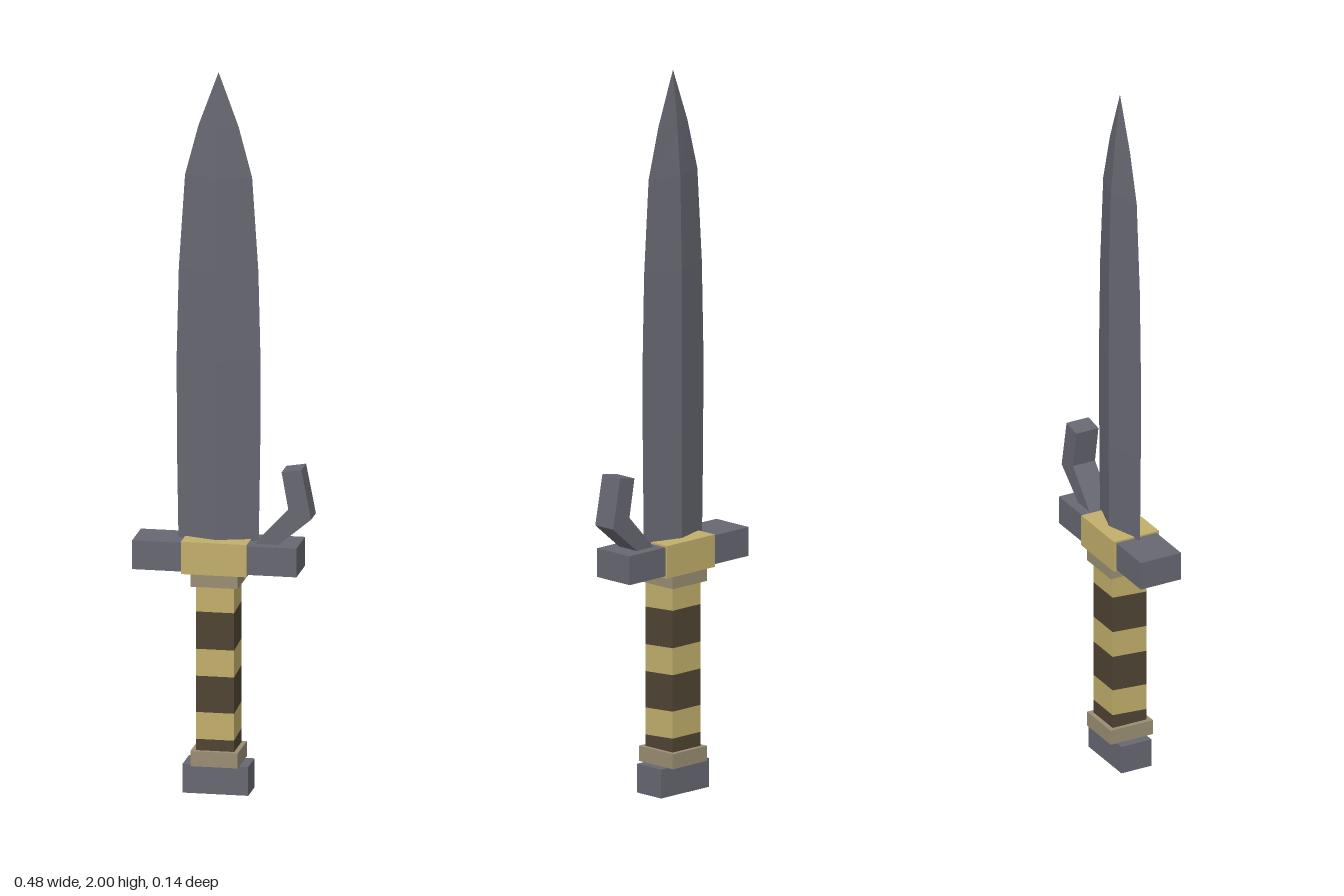
import * as THREE from 'three';

const flat = (name, color) => {
  const m = new THREE.MeshStandardMaterial({ color });
  m.name = name;
  return m;
};

export function createModel() {
  const steel = flat('steel', 0x676772);
  const gold = flat('gold', 0xc2af6b);
  const leather = flat('dark leather', 0x4f4433);
  const bronze = flat('dull bronze', 0x9a8e73);

  const model = new THREE.Group();
  model.name = 'dagger';
  const CX = -0.02; // the dagger's long axis

  const add = (name, geometry, material) => {
    const mesh = new THREE.Mesh(geometry, material);
    mesh.name = name;
    model.add(mesh);
    return mesh;
  };
  const block = (name, material, width, y0, y1, depth) => {
    const geometry = new THREE.BoxGeometry(width, y1 - y0, depth);
    geometry.translate(CX, (y0 + y1) / 2, 0);
    return add(name, geometry, material);
  };

  // Pommel, collars and guard
  block('pommel', steel, 0.18, 0, 0.08, 0.092);
  block('lowerCollar', bronze, 0.13, 0.08, 0.122, 0.13);
  block('upperCollar', bronze, 0.13, 0.58, 0.62, 0.13);
  block('crossguard', steel, 0.45, 0.62, 0.7, 0.124);
  block('guardBlock', gold, 0.18, 0.615, 0.705, 0.138);

  // Grip wrapped in alternating bands whose edges rise slightly to the back
  const edges = [0.12, 0.157, 0.232, 0.333, 0.408, 0.512, 0.582];
  for (let i = 0; i < edges.length - 1; i++) {
    const band = block('gripBand', i % 2 ? gold : leather, 0.105, edges[i], edges[i + 1], 0.104);
    const p = band.geometry.attributes.position;
    for (let v = 0; v < p.count; v++) {
      const y = p.getY(v);
      if (y > 0.13 && y < 0.57) p.setY(v, y - 0.07 * p.getZ(v));
    }
  }

  // Blade: diamond cross-sections [height, half width, half thickness]
  const sections = [
    [0.7, 0.11, 0.034], [0.95, 0.114, 0.035], [1.2, 0.115, 0.035], [1.45, 0.109, 0.034],
    [1.71, 0.092, 0.028], [1.85, 0.055, 0.016], [2, 0, 0],
  ];
  const corners = ([y, w, t]) => [[CX + w, y, 0], [CX, y, t], [CX - w, y, 0], [CX, y, -t]];
  const points = [];
  for (let i = 0; i < sections.length - 1; i++) {
    const low = corners(sections[i]);
    const high = corners(sections[i + 1]);
    for (let k = 0; k < 4; k++) {
      const n = (k + 1) % 4;
      points.push(...low[k], ...high[k], ...low[n]);
      if (i < sections.length - 2) points.push(...low[n], ...high[k], ...high[n]);
    }
  }
  const blade = new THREE.BufferGeometry();
  blade.setAttribute('position', new THREE.Float32BufferAttribute(points, 3));
  blade.computeVertexNormals();
  add('blade', blade, steel);

  // Bent hook rising from one arm of the guard
  const outline = [[0.083, 0.695], [0.125, 0.695], [0.15, 0.7], [0.24, 0.775], [0.213, 0.912], [0.159, 0.903], [0.178, 0.797]];
  const hook = new THREE.ExtrudeGeometry(
    new THREE.Shape(outline.map(([x, y]) => new THREE.Vector2(x, y))),
    { depth: 0.068, bevelEnabled: false },
  );
  hook.translate(0, 0, -0.034);
  add('guardHook', hook, steel);

  return model;
}
